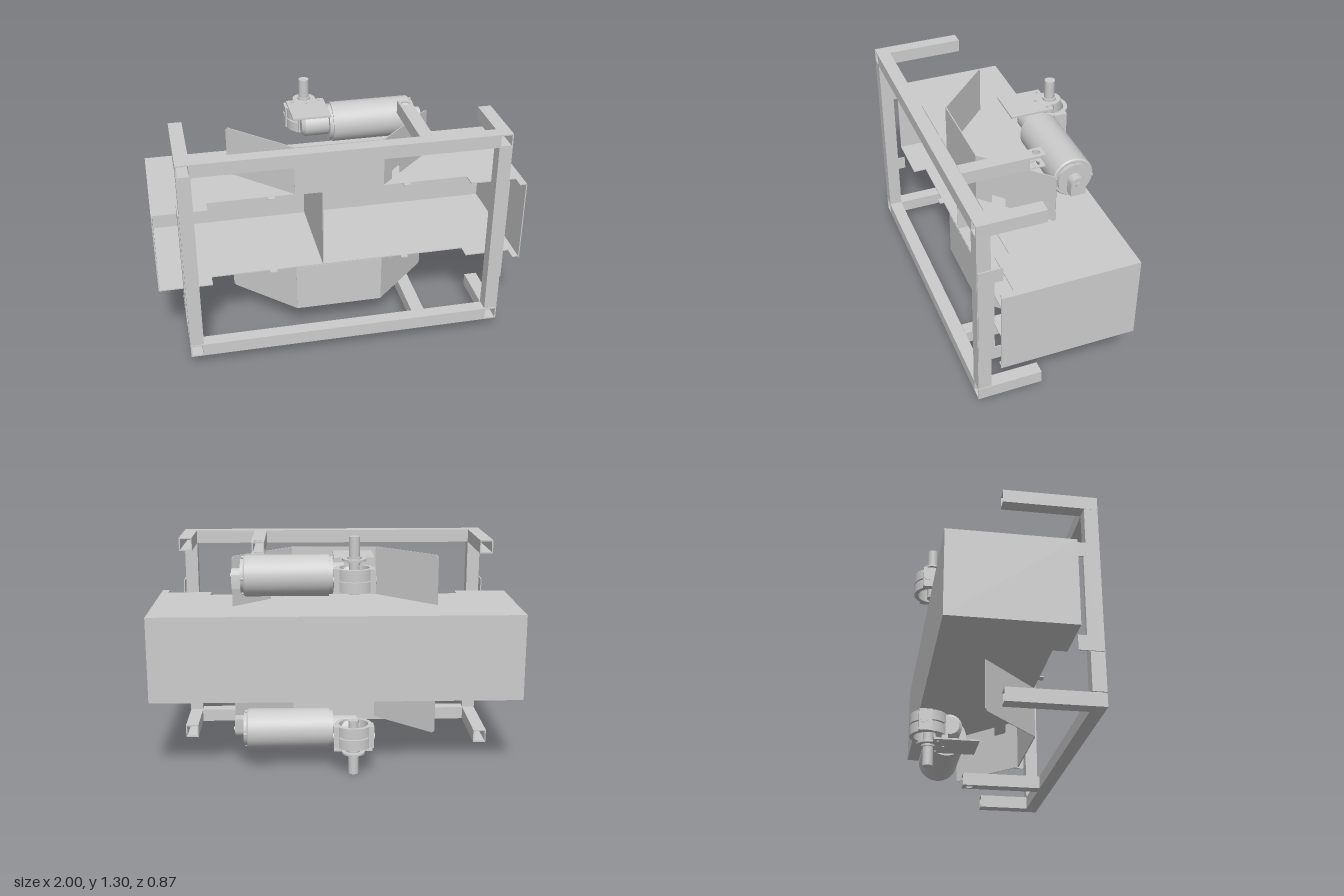
import * as THREE from 'three';
import { toCreasedNormals } from 'three/addons/utils/BufferGeometryUtils.js';

const grey = new THREE.MeshStandardMaterial({ color: 0xcccccc, side: THREE.DoubleSide });
const TOP = 1.297; // height of the model; the lower half mirrors the upper one

export function createModel() {
  const model = new THREE.Group();
  let parent = model;
  let flip = false;
  const Y = (y) => (flip ? TOP - y : y);
  const S = (y) => (flip ? -y : y);

  function add(name, geometry, x, y, z) {
    const mesh = new THREE.Mesh(geometry, grey);
    mesh.name = name;
    mesh.position.set(x, Y(y), z);
    parent.add(mesh);
    return mesh;
  }
  // box given by its limits
  const box = (name, x0, x1, y0, y1, z0, z1) =>
    add(name, new THREE.BoxGeometry(x1 - x0, y1 - y0, z1 - z0), (x0 + x1) / 2, (y0 + y1) / 2, (z0 + z1) / 2);
  const outline = (pts) => new THREE.Shape(pts.map(([a, b]) => new THREE.Vector2(a, b)));
  const extrude = (shape, depth) => {
    const g = new THREE.ExtrudeGeometry(shape, { depth, bevelEnabled: false, curveSegments: 24 });
    return g.translate(0, 0, -depth / 2);
  };
  // flat plate drawn in x and z, centred on height y
  const slab = (name, shape, thick, x, y, z) =>
    add(name, toCreasedNormals(extrude(shape, thick).rotateX(Math.PI / 2), 0.6), x, y, z);
  const circle = (r, x = 0, y = 0) => new THREE.Path().absarc(x, y, r, 0, Math.PI * 2, true);
  // hollow square tube along an axis
  function tube(name, axis, length, x, y, z) {
    const h = 0.036, i = 0.029;
    const s = outline([[-h, -h], [h, -h], [h, h], [-h, h]]);
    s.holes.push(outline([[-i, -i], [-i, i], [i, i], [i, -i]]));
    const g = extrude(s, length);
    if (axis === 'x') g.rotateY(Math.PI / 2);
    if (axis === 'y') g.rotateX(Math.PI / 2);
    return add(name, g, x, y, z);
  }

  // open-fronted duct with a divider
  const ductTop = outline([[-1, -0.365], [1, -0.365], [1, 0.355], [0.96, 0.355], [0.96, 0.285], [0.71, 0.285],
    [0.71, 0.21], [0.39, 0.21], [0.39, 0.235], [0.35, 0.235], [0.35, 0.21], [-0.35, 0.21], [-0.35, 0.235],
    [-0.39, 0.235], [-0.39, 0.21], [-0.71, 0.21], [-0.71, 0.285], [-1, 0.285]]);
  slab('ductTop', ductTop, 0.006, 0, 0.879, 0);
  slab('ductBottom', ductTop, 0.006, 0, 0.418, 0);
  box('ductBack', -1, 1, 0.415, 0.882, -0.365, -0.359);
  box('ductRightEnd', -1, -0.994, 0.415, 0.882, -0.365, 0.285);
  box('ductLeftEnd', 0.994, 1, 0.415, 0.882, -0.365, 0.36);
  box('ductDivider', -0.093, -0.087, 0.418, 0.879, -0.36, 0.21);

  // front posts and their side brackets
  for (const side of [-1, 1]) {
    tube('post', 'y', 1.016, side * 0.827, TOP / 2 + 0.002, 0.397);
    const b = outline([[0.43, 0.35], [0.30, 0.35], [0.30, 0.43], [0.345, 0.43], [0.345, 0.87],
      [0.30, 0.87], [0.30, 0.95], [0.43, 0.95]]);
    const bracket = add('postBracket', extrude(b, 0.006), side * 0.867, 0, 0);
    bracket.rotation.y = -Math.PI / 2;
  }

  // upper and lower halves
  for (const lower of [false, true]) {
    flip = lower;
    parent = new THREE.Group();
    parent.name = lower ? 'lowerHalf' : 'upperHalf';
    model.add(parent);

    // frame rails and arms
    tube('frontRail', 'x', 1.582, 0, 1.195, 0.397);
    tube('rightArm', 'z', 0.49, -0.827, 1.195, 0.188);
    tube('leftArm', 'z', 0.355, 0.827, 1.195, 0.2555);
    tube('motorArm', 'z', 0.36, 0.42, 1.195, 0.18);
    const tab = outline([[-0.036, 0], [-0.036, -0.085], [0.036, -0.085], [0.036, 0]]);
    tab.holes.push(circle(0.021, 0, -0.045));
    for (const y of [1.1625, 1.2275]) slab('armTab', tab, 0.007, 0.42, y, 0);
    box('armTabSide', 0.384, 0.39, 1.162, 1.228, -0.085, 0);

    // bent deflector plate, the left wing notched
    box('deflectorCentre', -0.242, 0.242, 0.882, 1.158, 0.206, 0.212);
    const angle = Math.atan2(0.31, 0.32), L = 0.445;
    const wing = [[L, 0.882], [L, 1.145], [L - 0.013, 1.158], [0, 1.158], [0, 0.882]];
    const notch = [[0.085, 0.882], [0.085, 0.927], [0.093, 0.935], [0.16, 0.935], [0.168, 0.927], [0.168, 0.882]];
    for (const side of [-1, 1]) {
      const pts = (side > 0 ? [...wing, ...notch] : wing).map(([u, y]) => [u, S(y - 1)]);
      const w = add('deflectorWing', extrude(outline(pts), 0.005), side * 0.24, 1, 0.209);
      w.rotation.y = side > 0 ? angle : Math.PI - angle;
    }

    // motor with stepped end caps
    const my = 1.075, mz = -0.225;
    const profile = [[0, -0.13], [0.05, -0.13], [0.068, -0.11], [0.068, 0.02], [0.1, 0.02], [0.1, 0.04], [0.11, 0.04],
      [0.11, 0.48], [0.104, 0.488], [0.09, 0.488], [0.09, 0.505], [0, 0.505]];
    const body = new THREE.LatheGeometry(profile.map(([r, x]) => new THREE.Vector2(r, x)), 40).rotateZ(-Math.PI / 2);
    add('motor', toCreasedNormals(body, 0.6), 0, my, mz);
    const cap = outline([[-0.04, S(-0.065)], [0.04, S(-0.065)], [0.04, 0]]);
    cap.absarc(0, 0, 0.04, 0, S(Math.PI), flip);
    add('motorEndCap', toCreasedNormals(extrude(cap, 0.05).rotateY(Math.PI / 2), 0.6), 0.528, my, mz);
    add('capScrew', new THREE.CylinderGeometry(0.014, 0.014, 0.01, 16).rotateZ(Math.PI / 2), 0.555, my, mz);
    for (let i = 0; i < 4; i++) {
      const a = (i * Math.PI) / 2;
      add('motorBolt', new THREE.CylinderGeometry(0.007, 0.007, 0.016, 10).rotateZ(Math.PI / 2),
        0.492, my + Math.sin(a) * 0.098, mz + Math.cos(a) * 0.098);
    }

    // gear plate with a round lug around the shaft
    const sx = -0.09, sz = -0.335;
    const plate = outline([[-0.105, 0.26], [-0.105, 0.02], [-0.062, 0.02]]);
    plate.absarc(0, 0, 0.062, Math.PI, Math.PI * 2, false);
    for (const [x, z] of [[0.062, 0.02], [0.105, 0.02], [0.105, 0.26]]) plate.lineTo(x, z);
    plate.holes.push(circle(0.037));
    for (const x of [-0.075, 0, 0.075]) plate.holes.push(circle(0.008, x, x ? 0.045 : 0.08));
    slab('gearPlate', plate, 0.01, sx, 1.177, sz);

    // clamp ring split by a thin slot, with lugs and ribs
    const ring = (r, i) => {
      const s = new THREE.Shape().absarc(0, 0, r, 0, Math.PI * 2, false);
      s.holes.push(circle(i));
      return s;
    };
    for (const y of [1.043, 1.107]) slab('clampRing', ring(0.1, 0.078), 0.056, sx, y, sz);
    slab('clampLiner', ring(0.086, 0.078), 0.116, sx, my, sz);
    for (const side of [-1, 1]) {
      const x = sx + side * 0.094;
      box('clampLug', x - 0.014, x + 0.014, 1.015, 1.135, -0.395, -0.325);
      add('clampBolt', new THREE.CylinderGeometry(0.02, 0.02, 0.036, 16).rotateZ(Math.PI / 2), x, my, -0.37);
    }
    box('clampBridge', -0.14, -0.04, 1.02, 1.172, -0.268, -0.235);

    // output shaft and its collar
    add('shaft', new THREE.CylinderGeometry(0.028, 0.028, 0.302, 24), sx, 1.146, sz);
    add('shaftCollar', new THREE.CylinderGeometry(0.036, 0.036, 0.03, 24), sx, 1.177, sz);
  }
  return model;
}
